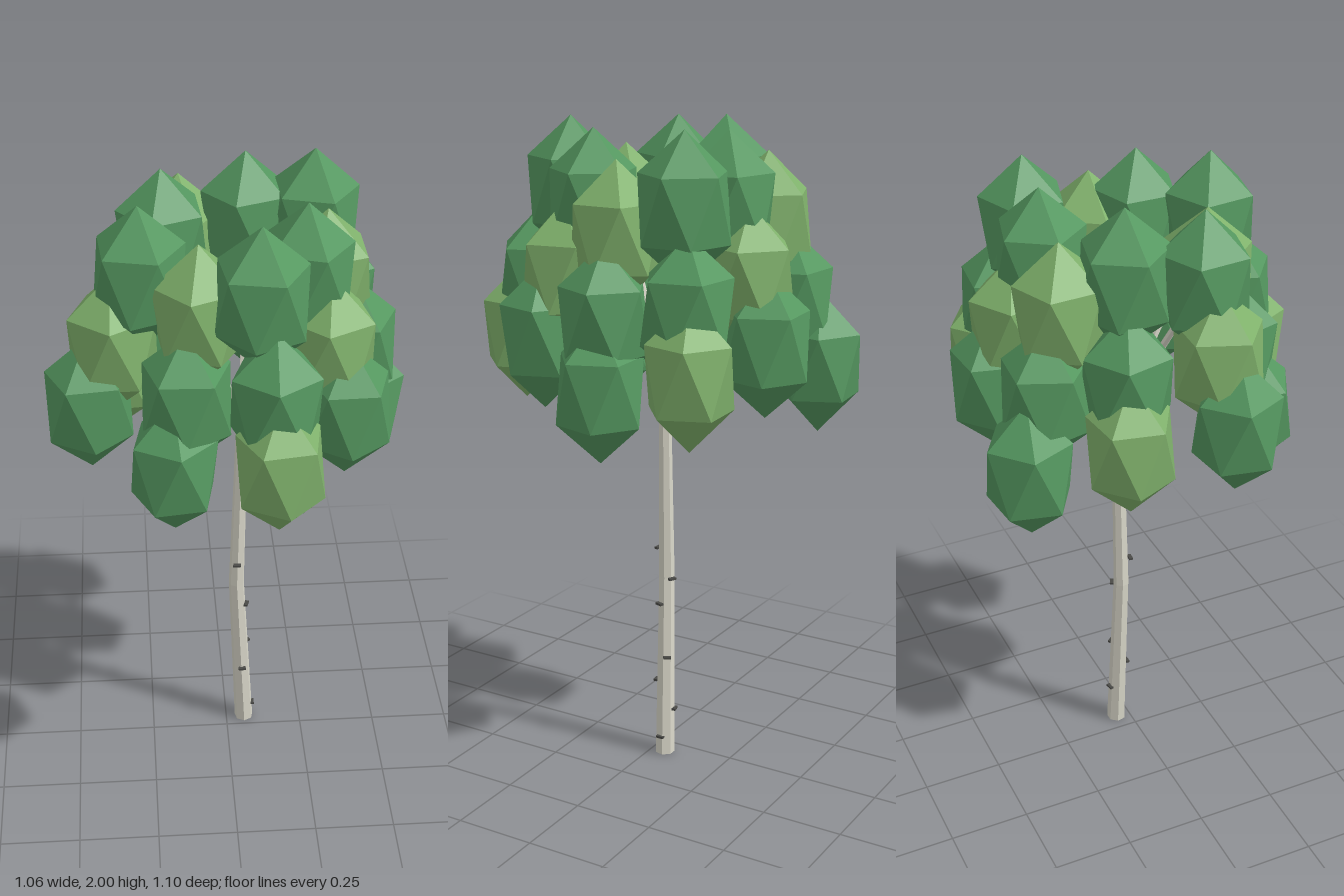
import * as THREE from 'three';

const mat = (color) => new THREE.MeshStandardMaterial({ color, flatShading: true });
const bark = mat(0xdad8ca), scar = mat(0x4a4a47);
const darkLeaf = mat(0x559860), lightLeaf = mat(0x80b26c);

// Centre line of the gently bent trunk
const trunkPoints = [[0.06, 0, -0.045], [0.032, 0.56, -0.035], [0.048, 1.18, -0.037]]
  .map((p) => new THREE.Vector3(...p));
function trunkAt(y) {
  const i = y < trunkPoints[1].y ? 0 : 1;
  const a = trunkPoints[i], b = trunkPoints[i + 1];
  return a.clone().lerp(b, (y - a.y) / (b.y - a.y));
}

// Trunk: one tapered cylinder whose rings follow the centre line
function makeTrunk() {
  const geo = new THREE.CylinderGeometry(0.019, 0.031, 1.18, 7, 2);
  geo.translate(0, 0.59, 0);
  const pos = geo.attributes.position;
  for (let i = 0; i < pos.count; i++) {
    const c = trunkAt(pos.getY(i));
    pos.setXYZ(i, pos.getX(i) + c.x, pos.getY(i), pos.getZ(i) + c.z);
  }
  geo.computeVertexNormals();
  const mesh = new THREE.Mesh(geo, bark);
  mesh.name = 'trunk';
  return mesh;
}

// Branch: rises steeply from the fork, then spreads outwards
function makeBranch(from, to) {
  const bend = new THREE.Vector3(
    THREE.MathUtils.lerp(from.x, to.x, 0.36),
    THREE.MathUtils.lerp(from.y, to.y, 0.55),
    THREE.MathUtils.lerp(from.z, to.z, 0.36));
  const curve = new THREE.QuadraticBezierCurve3(from, bend, to);
  const mesh = new THREE.Mesh(new THREE.TubeGeometry(curve, 4, 0.01, 5), bark);
  mesh.name = 'branch';
  return mesh;
}

// Leaf clump: icosahedron standing on a corner, stretched upwards
const leafGeo = new THREE.IcosahedronGeometry(1, 0);
leafGeo.rotateZ(-Math.atan(2 / (1 + Math.sqrt(5))));

// Each spray: x, z of its inner, middle and outer clump, going round the trunk
const sprays = [
  [0.215, 0.10, 0.28, 0.155, 0.33, 0.205],
  [0.285, -0.02, 0.37, -0.03, 0.405, -0.035],
  [0.27, -0.23, 0.34, -0.28, 0.385, -0.315],
  [0.07, -0.26, 0.09, -0.34, 0.105, -0.405],
  [-0.125, -0.285, -0.155, -0.345, -0.21, -0.425],
  [-0.18, -0.115, -0.26, -0.145, -0.325, -0.165],
  [-0.25, 0.09, -0.33, 0.10, -0.405, 0.125],
  [-0.09, 0.18, -0.13, 0.25, -0.17, 0.295],
  [0.075, 0.27, 0.11, 0.36, 0.12, 0.42],
];
// Heights repeat every three sprays, and so does the position of the light clump
const heights = [[1.77, 1.57, 1.39], [1.695, 1.47, 1.275], [1.785, 1.515, 1.345]];
const lightIndex = [1, 0, 2];

// Bark scars: height and the direction (x, z) they face
const scars = [
  [0.06, 1, 0], [0.15, -0.2, -1], [0.24, 0.1, 1], [0.33, 0.8, -0.6],
  [0.505, 1, 0.3], [0.59, 0.5, -1], [0.68, -0.1, 1],
];

export function createModel() {
  const tree = new THREE.Group();
  tree.name = 'tree';
  tree.add(makeTrunk());

  const scarGroup = new THREE.Group();
  scarGroup.name = 'barkScars';
  for (const [y, dx, dz] of scars) {
    const mesh = new THREE.Mesh(new THREE.BoxGeometry(0.024, 0.007, 0.012), scar);
    const out = new THREE.Vector3(dx, 0, dz).normalize();
    mesh.name = 'barkScar';
    mesh.position.copy(trunkAt(y)).addScaledVector(out, 0.031);
    mesh.rotation.y = Math.atan2(dx, dz);
    scarGroup.add(mesh);
  }
  tree.add(scarGroup);

  const branches = new THREE.Group(), foliage = new THREE.Group();
  branches.name = 'branches';
  foliage.name = 'foliage';
  const fork = trunkAt(1.14);
  sprays.forEach((s, i) => {
    const ys = heights[i % 3];
    branches.add(makeBranch(fork, new THREE.Vector3(s[0], ys[0] - 0.03, s[1])));
    for (let k = 0; k < 3; k++) {
      const isLight = lightIndex[i % 3] === k;
      const clump = new THREE.Mesh(leafGeo, isLight ? lightLeaf : darkLeaf);
      const r = [0.147, 0.145, 0.141][k];
      clump.name = isLight ? 'lightLeafClump' : 'darkLeafClump';
      clump.position.set(s[2 * k], ys[k], s[2 * k + 1]);
      clump.scale.set(r, 0.215, r);
      clump.rotation.y = i * 1.9 + k * 0.8;
      foliage.add(clump);
    }
  });
  tree.add(branches, foliage);
  return tree;
}
